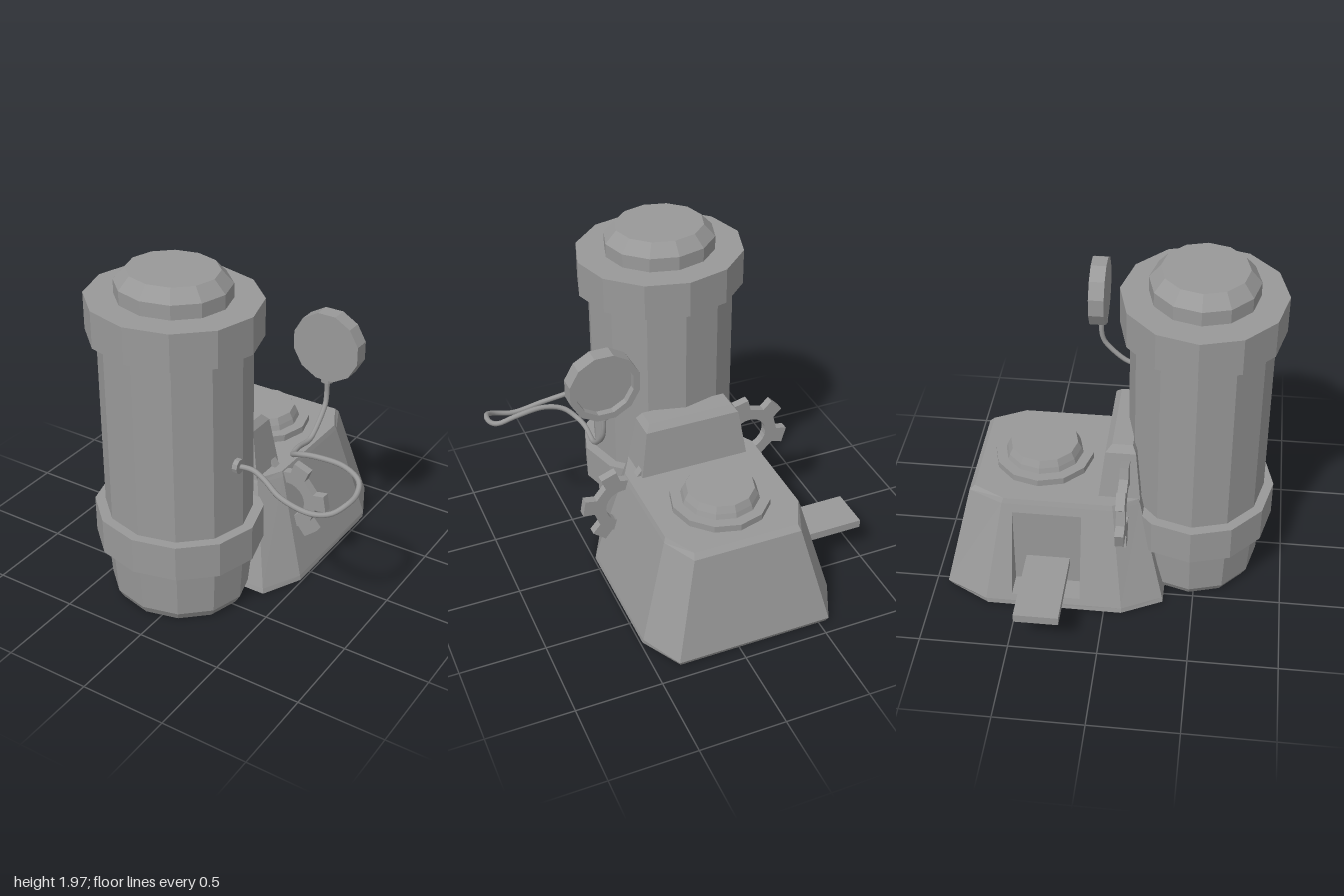
import * as THREE from 'three';

const CX = -0.095; // centre line of the machine

export function createModel() {
  const group = new THREE.Group();
  const metal = new THREE.MeshStandardMaterial({ color: 0x999999 });
  metal.name = 'grey metal';

  const add = (name, geo, x = 0, y = 0, z = 0, smooth = false) => {
    if (!smooth) {
      if (geo.index) geo = geo.toNonIndexed();
      geo.computeVertexNormals(); // faceted
    }
    const mesh = new THREE.Mesh(geo, metal);
    mesh.name = name;
    mesh.position.set(x, y, z);
    group.add(mesh);
    return mesh;
  };
  const lathe = (pts, sides = 12) =>
    new THREE.LatheGeometry(pts.map(p => new THREE.Vector2(p[0], p[1])), sides);

  // Mirror a half outline (half width, z) into a full ring at height y
  const ring = (y, half) => [
    ...half.map(([w, z]) => [CX + w, y, z]),
    ...[...half].reverse().map(([w, z]) => [CX - w, y, z]),
  ];
  const quad = (out, a, b, c, d) => out.push(a, b, c, a, c, d);
  // Join rings into a closed solid; special(out, a, b, c, d) may replace one wall
  const loft = (rings, special) => {
    const out = [], n = rings[0].length, top = rings[rings.length - 1];
    for (let k = 0; k < rings.length - 1; k++) {
      for (let i = 0; i < n; i++) {
        const j = (i + 1) % n;
        const corners = [rings[k][i], rings[k][j], rings[k + 1][j], rings[k + 1][i]];
        if (special && special.band === k && special.side === i) special.build(out, ...corners);
        else quad(out, ...corners);
      }
    }
    for (let i = 1; i < n - 1; i++) {
      out.push(top[0], top[i], top[i + 1]);
      out.push(rings[0][0], rings[0][i + 1], rings[0][i]);
    }
    const geo = new THREE.BufferGeometry();
    geo.setAttribute('position', new THREE.Float32BufferAttribute(out.flat(), 3));
    return geo;
  };

  // Upright tank with two bands and a stepped cap, slightly oval
  const tank = lathe([
    [0, 0], [0.375, 0], [0.405, 0.05], [0.425, 0.34], [0.485, 0.34], [0.485, 0.55],
    [0.425, 0.55], [0.425, 1.61], [0.485, 1.61], [0.485, 1.82], [0.32, 1.82],
    [0.32, 1.9], [0.255, 1.97], [0, 1.97],
  ]);
  tank.scale(1, 1, 0.92);
  add('tank', tank, CX, 0, 0.475);

  // Wedge-shaped housing with a niche cut into its sloping side
  const niche = {
    band: 1, side: 5,
    build(out, a, b, c, d) {
      const lo = 0.07, hi = 0.57, z0 = -0.53, z1 = -0.14;
      const wallX = y => THREE.MathUtils.mapLinear(y, a[1], d[1], a[0], d[0]);
      const p = [wallX(lo), lo, z0], q = [wallX(lo), lo, z1];
      const r = [wallX(hi), hi, z1], s = [wallX(hi), hi, z0];
      const P = [wallX(hi), lo, z0], Q = [wallX(hi), lo, z1];
      quad(out, a, b, q, p);
      quad(out, b, c, r, q);
      quad(out, c, d, s, r);
      quad(out, d, a, p, s);
      quad(out, p, q, Q, P); // floor
      quad(out, P, Q, r, s); // inner wall
      out.push(p, P, s, q, r, Q); // triangular ends
    },
  };
  add('housing', loft([
    ring(0, [[0.47, 0.33], [0.585, 0.1], [0.582, -0.67], [0.45, -0.91]]),
    ring(0.03, [[0.465, 0.325], [0.58, 0.1], [0.58, -0.68], [0.46, -0.925]]),
    ring(0.62, [[0.335, 0.18], [0.415, 0.035], [0.415, -0.59], [0.32, -0.79]]),
    ring(0.65, [[0.33, 0.17], [0.405, 0.03], [0.405, -0.58], [0.31, -0.76]]),
  ], niche));

  // Raised block joining the housing to the tank
  add('connectingBlock', loft([
    ring(0.64, [[0.33, 0.18], [0.33, -0.055]]),
    ring(0.93, [[0.285, 0.15], [0.285, -0.02]]),
    ring(0.97, [[0.255, 0.13], [0.255, 0.015]]),
  ]));

  // Round hatch on the housing
  add('hatch', lathe([
    [0, 0.64], [0.285, 0.64], [0.285, 0.69], [0.225, 0.69], [0.215, 0.72], [0.195, 0.76], [0, 0.76],
  ]), CX, 0, -0.405);

  // Tray sticking out of the niche
  add('tray', new THREE.BoxGeometry(0.5, 0.05, 0.25), -0.75, 0.225, -0.335);

  // Six-toothed open gears, one on each side
  const gear = phase => {
    const shape = new THREE.Shape(), pts = [];
    for (let i = 0; i < 6; i++) {
      for (const [r, da] of [[0.18, -0.27], [0.248, -0.2], [0.248, 0.2], [0.18, 0.27]]) {
        const t = phase + i * Math.PI / 3 + da;
        pts.push(new THREE.Vector2(r * Math.cos(t), r * Math.sin(t)));
      }
    }
    shape.setFromPoints(pts);
    shape.holes.push(new THREE.Path().absarc(0, 0, 0.108, 0, Math.PI * 2, true));
    const geo = new THREE.ExtrudeGeometry(shape, { depth: 0.05, bevelEnabled: false, curveSegments: 12 });
    return geo.translate(0, 0, -0.025);
  };
  add('leftGear', gear(0.17), 0.345, 0.47, -0.005);
  add('rightGear', gear(2.37), -0.5, 0.67, 0.095);

  // Gauge drum, hollow at the back
  const drum = lathe([[0, 0], [0.203, 0], [0.203, 0.09], [0.165, 0.09], [0.165, 0.05], [0, 0.05]]);
  drum.rotateY(Math.PI / 12).rotateX(-Math.PI / 2);
  add('gauge', drum, 0.487, 1.425, -0.105);
  add('gaugeCollar', new THREE.CylinderGeometry(0.036, 0.036, 0.03, 10), 0.487, 1.222, -0.14);

  // Bent pipe from the tank to the gauge
  const path = new THREE.CatmullRomCurve3([
    [0.31, 0.95, 0.525], [0.42, 0.955, 0.52], [0.5, 0.93, 0.535], [0.62, 0.885, 0.575],
    [0.8, 0.855, 0.58], [0.92, 0.89, 0.57], [0.975, 0.93, 0.51], [0.982, 0.945, 0.42],
    [0.95, 0.975, 0.34], [0.85, 1.015, 0.315], [0.68, 1.025, 0.325], [0.57, 0.995, 0.31],
    [0.51, 0.95, 0.26], [0.49, 0.94, 0.17], [0.49, 0.925, 0.05], [0.49, 0.945, 0],
    [0.49, 1.065, -0.12], [0.487, 1.13, -0.14], [0.487, 1.22, -0.14],
  ].map(p => new THREE.Vector3(...p)));
  add('pipe', new THREE.TubeGeometry(path, 90, 0.015, 8), 0, 0, 0, true);
  const flange = new THREE.CylinderGeometry(0.042, 0.042, 0.03, 10).rotateZ(Math.PI / 2);
  add('pipeFlange', flange, 0.332, 0.955, 0.525);

  return group;
}
